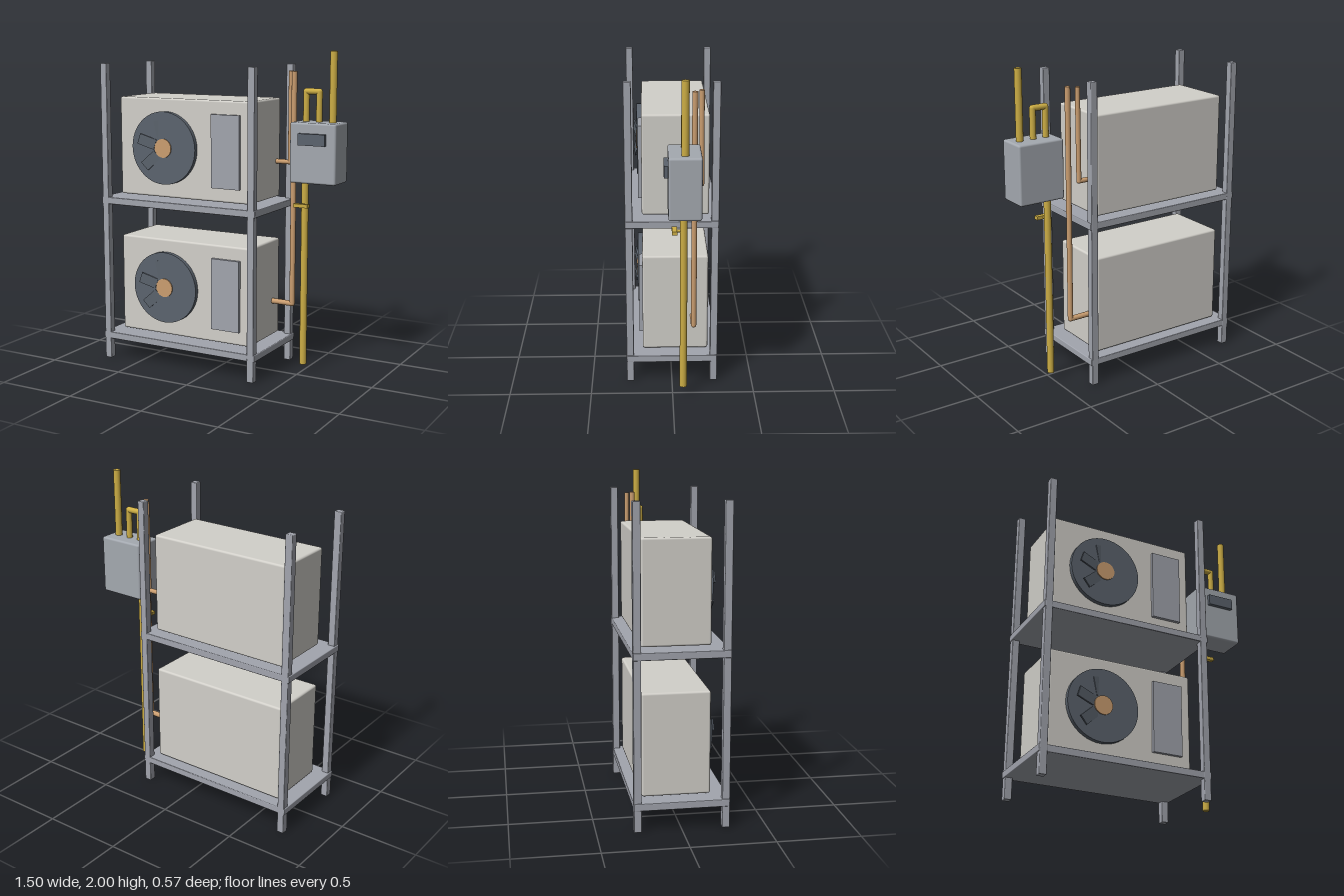
import * as THREE from 'three';
import { RoundedBoxGeometry } from 'three/addons/geometries/RoundedBoxGeometry.js';

const flat = (name, color) => {
  const m = new THREE.MeshStandardMaterial({ color });
  m.name = name;
  return m;
};

export function createModel() {
  const casing = flat('warm white casing', 0xd2d0ca);
  const steel = flat('rack steel', 0xa2a5ae);
  const meterGrey = flat('meter grey', 0xa4a9b0);
  const dark = flat('dark slate', 0x5c646e);
  const copper = flat('copper', 0xcb9e70);
  const yellow = flat('gas pipe yellow', 0xcdae45);

  const model = new THREE.Group();
  model.name = 'outdoorUnitRack';

  const add = (parent, name, geometry, material) => {
    const mesh = new THREE.Mesh(geometry, material);
    mesh.name = name;
    parent.add(mesh);
    return mesh;
  };

  // Box given by its limits on each axis, optionally with rounded edges
  const box = (parent, name, material, [x0, x1], [y0, y1], [z0, z1], r = 0) => {
    const size = [x1 - x0, y1 - y0, z1 - z0];
    const geometry = r ? new RoundedBoxGeometry(...size, 2, r) : new THREE.BoxGeometry(...size);
    const mesh = add(parent, name, geometry, material);
    mesh.position.set((x0 + x1) / 2, (y0 + y1) / 2, (z0 + z1) / 2);
    return mesh;
  };

  // Pipe through a list of points: straight cylinders with round elbows
  const pipe = (name, material, r, points) => {
    const group = new THREE.Group();
    group.name = name;
    model.add(group);
    const up = new THREE.Vector3(0, 1, 0);
    const pts = points.map((p) => new THREE.Vector3(...p));
    for (let i = 1; i < pts.length; i++) {
      const run = pts[i].clone().sub(pts[i - 1]);
      const mesh = add(group, 'pipeRun', new THREE.CylinderGeometry(r, r, run.length(), 16), material);
      mesh.position.copy(pts[i]).add(pts[i - 1]).multiplyScalar(0.5);
      mesh.quaternion.setFromUnitVectors(up, run.normalize());
      if (i < pts.length - 1) {
        add(group, 'pipeElbow', new THREE.SphereGeometry(r, 16, 10), material).position.copy(pts[i]);
      }
    }
  };

  // Rack: four posts and two solid shelves
  for (const x of [-0.725, 0.318]) {
    for (const z of [-0.26, 0.26]) {
      box(model, 'rackPost', steel, [x - 0.023, x + 0.023], [0, 1.912], [z - 0.023, z + 0.023], 0.005);
    }
  }
  for (const y of [0.132, 1.022]) {
    box(model, 'rackShelf', steel, [-0.754, 0.347], [y, y + 0.044], [-0.282, 0.282], 0.005);
  }

  // Two identical outdoor units, one on each shelf
  for (const y of [0.188, 1.08]) {
    const unit = new THREE.Group();
    unit.name = 'outdoorUnit';
    unit.position.y = y;
    model.add(unit);
    box(unit, 'unitCasing', casing, [-0.67, 0.263], [0, 0.622], [-0.226, 0.181], 0.013);
    box(unit, 'frontPanel', steel, [0.003, 0.197], [0.087, 0.538], [0.17, 0.202]);

    // Fan disc, hub and blades, tilted so the blades sink into the disc on one side
    const fan = new THREE.Group();
    fan.name = 'fan';
    fan.position.set(-0.333, 0.313, 0.181);
    unit.add(fan);
    const disc = add(fan, 'fanDisc', new THREE.CylinderGeometry(0.228, 0.228, 0.04, 48), dark);
    disc.rotation.x = Math.PI / 2;
    disc.position.z = 0.009;
    const hub = add(fan, 'fanHub', new THREE.CylinderGeometry(0.059, 0.059, 0.04, 32), copper);
    hub.rotation.x = Math.PI / 2;
    hub.position.z = 0.016;
    const blades = new THREE.Group();
    blades.name = 'fanBlades';
    blades.position.z = 0.018;
    blades.rotation.y = 0.18;
    fan.add(blades);
    for (let i = 0; i < 6; i++) {
      const angle = THREE.MathUtils.degToRad(162 + i * 60);
      const blade = add(blades, 'fanBlade', new THREE.BoxGeometry(0.115, 0.066, 0.01), dark);
      blade.rotation.z = angle;
      blade.position.set(0.12 * Math.cos(angle), 0.12 * Math.sin(angle), 0);
    }
  }

  // Copper refrigerant lines
  pipe('upperCopperLine', copper, 0.015, [[0.25, 1.307, -0.175], [0.358, 1.307, -0.175], [0.36, 1.872, -0.172]]);
  pipe('lowerCopperLine', copper, 0.017, [[0.25, 0.414, -0.131], [0.402, 0.414, -0.131], [0.402, 1.872, -0.131]]);

  // Meter box with display
  box(model, 'meterBox', meterGrey, [0.449, 0.748], [1.211, 1.577], [-0.16, 0.03], 0.013);
  box(model, 'meterDisplay', dark, [0.513, 0.687], [1.444, 1.514], [0.01, 0.054]);

  // Gas pipes: supply riser, loop over the meter, outlet
  const z = -0.065;
  pipe('supplyPipe', yellow, 0.022, [[0.512, 0.055, z], [0.512, 1.25, z]]);
  pipe('meterLoop', yellow, 0.019, [[0.514, 1.55, z], [0.514, 1.758, z], [0.599, 1.758, z], [0.599, 1.55, z]]);
  pipe('outletPipe', yellow, 0.022, [[0.688, 1.55, z], [0.688, 2, z]]);

  // Shut-off valve lever on the riser
  box(model, 'valveLever', yellow, [0.464, 0.56], [1.058, 1.08], [-0.025, 0.005]);
  pipe('valveStem', yellow, 0.008, [[0.512, 1.069, z], [0.512, 1.069, -0.02]]);

  return model;
}
